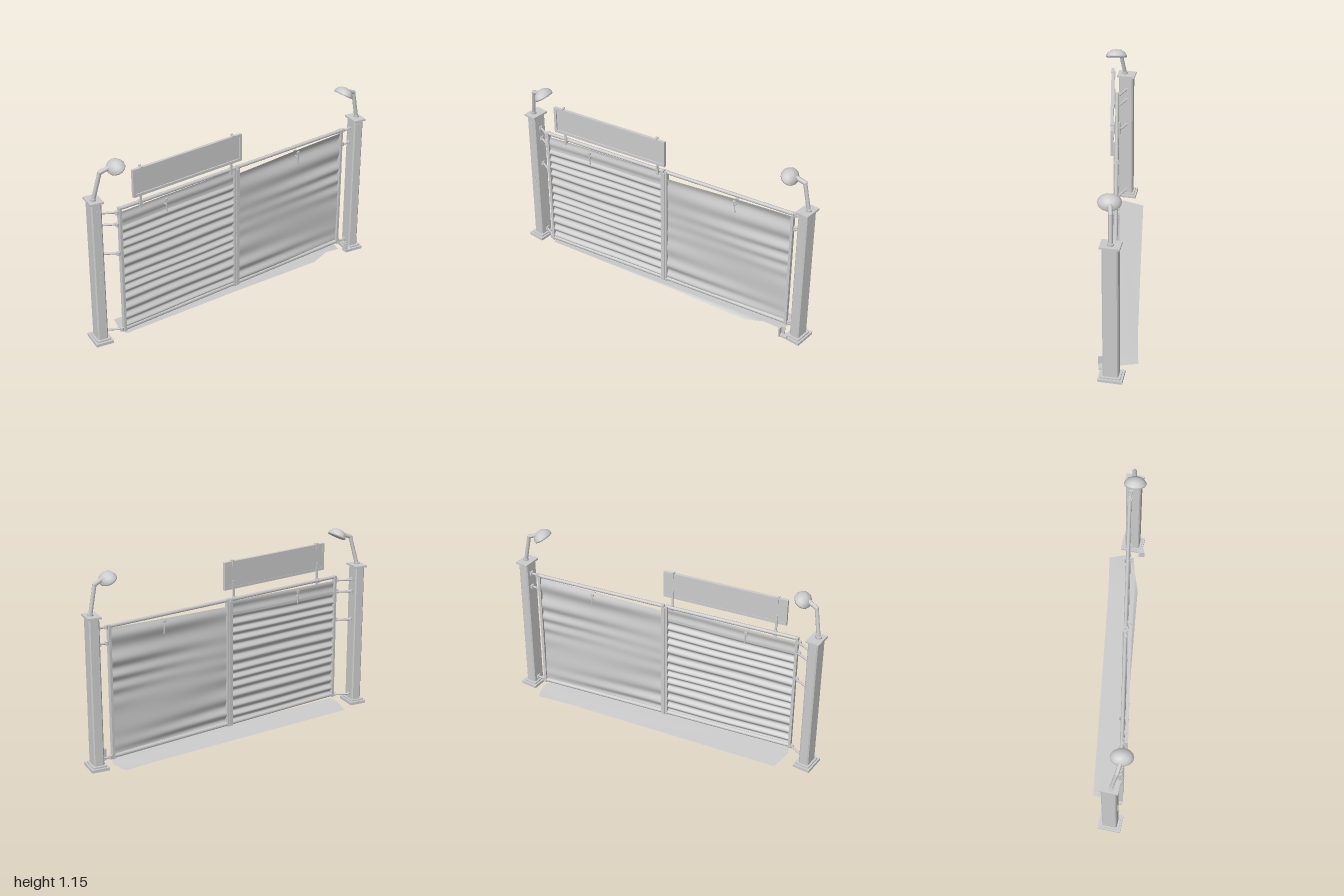
import * as THREE from 'three';

const grey = new THREE.MeshStandardMaterial({ color: 0xcccccc });
const sheetMat = new THREE.MeshStandardMaterial({ color: 0xcccccc, side: THREE.DoubleSide });

function add(parent, name, geometry, x = 0, y = 0, z = 0, material = grey) {
  const mesh = new THREE.Mesh(geometry, material);
  mesh.name = name;
  mesh.position.set(x, y, z);
  parent.add(mesh);
  return mesh;
}

function box(parent, name, w, h, d, x, y, z) {
  return add(parent, name, new THREE.BoxGeometry(w, h, d), x, y, z);
}

// Round bar between two points
function bar(parent, name, a, b, r, sides = 8) {
  const p = new THREE.Vector3(...a), q = new THREE.Vector3(...b);
  const dir = q.clone().sub(p);
  const mesh = add(parent, name, new THREE.CylinderGeometry(r, r, dir.length(), sides));
  mesh.position.copy(p).add(q).multiplyScalar(0.5);
  mesh.quaternion.setFromUnitVectors(new THREE.Vector3(0, 1, 0), dir.normalize());
  return mesh;
}

// Upright prism with cut corners
function prism(w, d, h, cut) {
  const a = w / 2, b = d / 2;
  const shape = new THREE.Shape([
    [-a + cut, -b], [a - cut, -b], [a, -b + cut], [a, b - cut],
    [a - cut, b], [-a + cut, b], [-a, b - cut], [-a, -b + cut],
  ].map(([x, y]) => new THREE.Vector2(x, y)));
  return new THREE.ExtrudeGeometry(shape, { depth: h, bevelEnabled: false }).rotateX(-Math.PI / 2);
}

// Gate post with foot, cap and bolts
function makePost(side) {
  const post = new THREE.Group();
  post.name = side < 0 ? 'rightPost' : 'leftPost';
  post.position.set(side * 0.934, 0, side < 0 ? -0.01 : 0.045);
  post.rotation.y = -0.17;
  box(post, 'foot', 0.107, 0.018, 0.14, 0, 0.009, 0);
  add(post, 'footCollar', prism(0.085, 0.115, 0.01, 0.006), 0, 0.017, 0);
  add(post, 'shaft', prism(0.062, 0.09, 0.885, 0.007), 0, 0.022, 0);
  box(post, 'cap', 0.08, 0.012, 0.112, 0, 0.911, 0);
  const bolts = side < 0 ? [0.47, 0.435, 0.4, 0.36, 0.855] : [0.88];
  for (const y of bolts) {
    const bolt = add(post, 'bolt', new THREE.CylinderGeometry(0.007, 0.007, 0.005, 8), side * -0.005, y, 0.046);
    bolt.rotation.x = Math.PI / 2;
  }
  return post;
}

// Bent arm carrying a tilted oval shade
function makeLamp(side) {
  const lamp = new THREE.Group();
  lamp.name = side < 0 ? 'rightLamp' : 'leftLamp';
  const z0 = side < 0 ? 0.0 : 0.045, z1 = side < 0 ? 0.03 : 0.045;
  const foot = [side * 0.942, 0.915, z0], elbow = [side * 0.908, 1.09, z1];
  bar(lamp, 'armCollar', foot, [foot[0], 0.928, z0], 0.018);
  bar(lamp, 'armUpright', foot, elbow, 0.012);
  add(lamp, 'armElbow', new THREE.SphereGeometry(0.013, 8, 6), ...elbow);
  bar(lamp, 'armReach', elbow, [side * 0.84, 1.117, 0.05], 0.013);

  const shade = new THREE.Group();
  shade.name = 'shade';
  const profile = [[0, 0.05], [0.022, 0.046], [0.041, 0.032], [0.052, 0.01], [0.05, 0], [0.044, 0.001], [0, 0.012]];
  const dome = new THREE.LatheGeometry(profile.map(([x, y]) => new THREE.Vector2(x, y)).reverse(), 14);
  dome.scale(1, 1, 1.28);
  add(shade, 'dome', dome, 0, 0, 0, sheetMat);
  shade.position.set(side * 0.815, 1.098, 0.053);
  shade.rotation.z = -side * 0.54;
  lamp.add(shade);
  return lamp;
}

// Weathered sheet with horizontal ridges
function sheet(w, h, depthAt, topAt) {
  const geo = new THREE.PlaneGeometry(w, h, 24, 150);
  const p = geo.attributes.position;
  for (let i = 0; i < p.count; i++) {
    const u = p.getX(i) / w + 0.5, v = p.getY(i) / h + 0.5;
    p.setY(i, p.getY(i) + v * topAt(u));
    p.setZ(i, depthAt(u, v));
  }
  geo.computeVertexNormals();
  return geo;
}

// Framed leaf of the gate
function makeLeaf(name, x0, x1, geometry) {
  const leaf = new THREE.Group();
  leaf.name = name;
  const mid = (x0 + x1) / 2;
  for (const x of [x0, x1]) box(leaf, 'stile', 0.016, 0.81, 0.026, x, 0.445, 0);
  bar(leaf, 'topRail', [x0, 0.842, 0], [x1, 0.842, 0], 0.011);
  bar(leaf, 'bottomRail', [x0, 0.055, 0], [x1, 0.055, 0], 0.013);
  add(leaf, 'corrugatedSheet', geometry, mid, 0.437, 0, sheetMat);
  return leaf;
}

// Hanging latch visible on both faces
function makeLatch(x) {
  const latch = new THREE.Group();
  latch.name = 'latch';
  for (const z of [-0.016, 0.016]) {
    box(latch, 'latchPlate', 0.018, 0.012, 0.008, x, 0.805, z);
    bar(latch, 'latchRod', [x, 0.805, z], [x + 0.004, 0.73, z], 0.004, 6);
  }
  bar(latch, 'latchPin', [x, 0.775, -0.02], [x, 0.775, 0.02], 0.005, 6);
  return latch;
}

// Framed board on two brackets
function makeSign() {
  const sign = new THREE.Group();
  sign.name = 'signBoard';
  const w = 0.76, h = 0.17, b = 0.016;
  box(sign, 'panel', w - 0.01, h - 0.01, 0.008, 0, 0, -0.003);
  for (const s of [-1, 1]) {
    box(sign, 'frameRail', w, b, 0.018, 0, s * (h - b) / 2, 0);
    box(sign, 'frameSide', b, h, 0.018, s * (w - b) / 2, 0, 0);
    const x = s * 0.32;
    box(sign, 'bracket', 0.012, 0.14, 0.008, x, -0.1, -0.013);
    box(sign, 'topClip', 0.014, 0.04, 0.006, x, h / 2 - 0.01, -0.012);
    box(sign, 'clipHook', 0.014, 0.006, 0.026, x, h / 2 + 0.003, -0.002);
    box(sign, 'railClamp', 0.018, 0.03, 0.022, x, -0.142, -0.02);
  }
  sign.position.set(-0.35, 0.982, 0.026);
  return sign;
}

export function createModel() {
  const model = new THREE.Group();
  model.name = 'gate';
  for (const side of [-1, 1]) model.add(makePost(side), makeLamp(side));

  // Gate leaves, slightly skewed between the posts
  const gate = new THREE.Group();
  gate.name = 'gateLeaves';
  gate.position.z = 0.035;
  gate.rotation.y = 0.016;
  const tight = sheet(0.8, 0.75,
    (u, v) => 0.009 * Math.sin(v * 82 + 0.7 * Math.sin(v * 17)) * (v > 0.88 ? 0.35 : 1) + 0.002 * Math.sin(u * 7 + v * 9),
    u => 0.005 + 0.015 * u);
  const loose = sheet(0.81, 0.75,
    (u, v) => 0.008 * Math.sin(v * 46 + 1.4 * Math.sin(v * 11) + 0.4 * u) * (0.55 + 0.45 * Math.cos(u * 2.2 + v * 5))
      + 0.003 * Math.sin(u * 5 + v * 8),
    u => -0.012 + 0.028 * u);
  gate.add(makeLeaf('rightLeaf', -0.805, 0.001, tight), makeLeaf('leftLeaf', 0.025, 0.84, loose));
  box(gate, 'meetingStile', 0.012, 0.79, 0.036, 0.013, 0.44, 0);
  gate.add(makeLatch(-0.5), makeLatch(0.48), makeSign());
  model.add(gate);

  // Hinges tying leaves to posts
  function hinge(side, y) {
    const zPost = side < 0 ? -0.008 : 0.03, zGate = side < 0 ? 0.045 : 0.022;
    const xp = side * 0.9, xg = side < 0 ? -0.81 : 0.845;
    const g = new THREE.Group();
    g.name = 'hinge';
    box(g, 'hingePlate', 0.012, 0.022, 0.024, xp, y, zPost);
    bar(g, 'hingeRod', [xp, y, zPost], [xg, y, zGate], 0.007);
    add(g, 'hingeKnuckle', new THREE.CylinderGeometry(0.011, 0.011, 0.022, 8), xg - 0.012 * -side, y, zGate);
    model.add(g);
  }
  for (const y of [0.82, 0.745, 0.56, 0.053]) hinge(-1, y);
  for (const y of [0.84, 0.745, 0.053]) hinge(1, y);

  // Floor stop beside the left post
  const stop = new THREE.Group();
  stop.name = 'gateStop';
  box(stop, 'stopPlate', 0.008, 0.062, 0.032, 0.846, 0.045, 0.107);
  box(stop, 'stopFace', 0.03, 0.062, 0.006, 0.857, 0.045, 0.094);
  box(stop, 'stopFoot', 0.05, 0.012, 0.04, 0.868, 0.02, 0.1);
  model.add(stop);

  // Ground sheet with a hump near the left post
  const outline = [[-0.8, 0.06], [0, 0.07], [0.6, 0.09], [0.72, 0.065], [0.83, 0.055], [0.85, 0],
    [0.83, -0.105], [0.6, -0.1], [0, -0.11], [-0.77, -0.125], [-0.81, 0]];
  const ground = new THREE.ShapeGeometry(new THREE.Shape(outline.map(([x, z]) => new THREE.Vector2(x, -z))));
  ground.rotateX(-Math.PI / 2);
  const p = ground.attributes.position;
  for (let i = 0; i < p.count; i++) {
    const x = p.getX(i), z = p.getZ(i);
    const hump = z > 0 ? 0.02 * Math.max(0, 1 - Math.abs(x - 0.72) / 0.12) : 0;
    p.setY(i, z < -0.05 ? 0.01 : 0.018 - 0.007 * x + hump);
  }
  ground.computeVertexNormals();
  add(model, 'groundSheet', ground, 0, 0, 0, sheetMat);
  return model;
}
